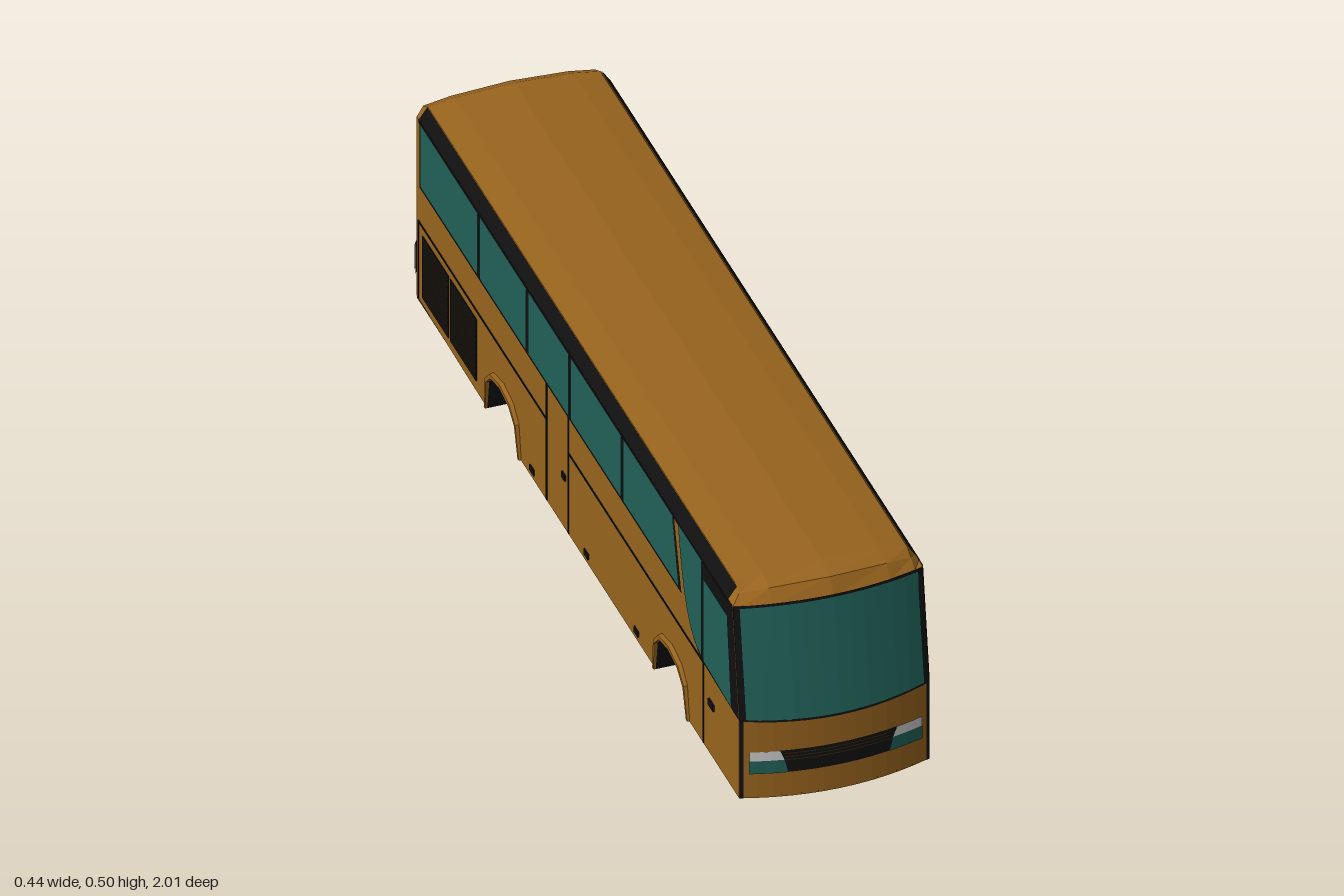
import * as THREE from 'three';

const ORANGE = 0x98641e, GLASS = 0x216158, BLACK = 0x101010, GREY = 0xcccccc, SLAT = 0x3a270c;
const W = 0.21, ARCHES = [0.56, -0.45];
const ARCH = [[-0.097, 0], [-0.085, 0.075], [-0.055, 0.104], [0, 0.116], [0.055, 0.104], [0.085, 0.075], [0.097, 0]];
const ROOF = [[-0.21, 0.46], [-0.19, 0.488], [-0.13, 0.498], [0, 0.505], [0.13, 0.498], [0.19, 0.488], [0.21, 0.46]];

const mats = {};
const mat = (color) => (mats[color] ??= new THREE.MeshStandardMaterial({ color, flatShading: true, side: THREE.DoubleSide }));

// Nose bows forward in plan; the windscreen leans back above y = 0.2
const frontZ = (x, y) => 1 - 0.84 * x * x - Math.max(0, y - 0.2) * 0.155;
// Flat tail with chamfered corners
const rearZ = (x) => (Math.abs(x) <= 0.19 ? -1 : -1 + (Math.abs(x) - 0.19) * 1.5);

export function createModel() {
  const root = new THREE.Group();

  const add = (name, geo, color) => {
    const m = new THREE.Mesh(geo, mat(color));
    m.name = name;
    root.add(m);
    return m;
  };
  const box = (name, color, x, y, z, w, h, d) =>
    add(name, new THREE.BoxGeometry(w, h, d).translate(x, y, z), color);

  // Surface through rows of points
  const sheet = (name, color, rows) => {
    const n = rows[0].length, idx = [];
    for (let r = 0; r < rows.length - 1; r++)
      for (let c = 0; c < n - 1; c++) {
        const a = r * n + c, b = a + n;
        idx.push(a, a + 1, b + 1, a, b + 1, b);
      }
    const g = new THREE.BufferGeometry();
    g.setAttribute('position', new THREE.Float32BufferAttribute(rows.flat(2), 3));
    g.setIndex(idx);
    g.computeVertexNormals();
    return add(name, g, color);
  };

  // Trapezium on the nose; bow bends the lower and upper edges
  const nosePatch = (name, color, off, [xb0, xb1, yb, bowB = 0], [xt0, xt1, yt, bowT = 0]) => {
    const edge = (x0, x1, y0, bow) => Array.from({ length: 13 }, (_, i) => {
      const x = x0 + (x1 - x0) * i / 12, y = y0 + bow * (1 - (x / W) ** 2);
      return [x, y, frontZ(x, y) + off];
    });
    return sheet(name, color, [edge(xb0, xb1, yb, bowB), edge(xt0, xt1, yt, bowT)]);
  };

  // Flat (z, y) outline placed on a side wall
  const sidePanel = (name, color, side, off, shape) => {
    const s = Array.isArray(shape) ? new THREE.Shape(shape.map(([z, y]) => new THREE.Vector2(z, y))) : shape;
    const g = new THREE.ShapeGeometry(s, 8), p = g.attributes.position;
    for (let i = 0; i < p.count; i++) p.setXYZ(i, side * (W + off), p.getY(i), p.getX(i));
    if (side > 0) {
      const a = g.index.array;
      for (let i = 0; i < a.length; i += 3) [a[i], a[i + 1]] = [a[i + 1], a[i]];
    }
    g.computeVertexNormals();
    return add(name, g, color);
  };

  // Roof with front brow, tail and chamfered rear corners in one loft
  const tailRow = (y, dz) => ROOF.map(([x]) => [x, y, rearZ(x) + dz]);
  sheet('roofAndTail', ORANGE, [
    ROOF.map(([x]) => [x, 0.456, frontZ(x, 0.456)]),
    ROOF.map(([x, y]) => [x, Math.abs(x) > 0.2 ? y : y - 0.012, 0.938 - 0.84 * x * x]),
    ROOF.map(([x, y]) => [x, y, 0.885]),
    ROOF.map(([x, y]) => [x, y, -0.955]),
    ROOF.map(([x, y]) => [x, Math.abs(x) > 0.2 ? y : y - 0.015, Math.abs(x) > 0.2 ? -0.97 : -0.985]),
    tailRow(0.45, 0), tailRow(0.05, 0), tailRow(0.008, 0.014),
  ]);

  // Nose
  nosePatch('nosePanel', ORANGE, 0, [-W, W, 0], [-W, W, 0.2]);
  nosePatch('windscreenFrame', BLACK, 0.001, [-W, W, 0.194, -0.009], [-W, W, 0.458, 0.005]);
  nosePatch('windscreen', GLASS, 0.003, [-0.197, 0.197, 0.199, -0.008], [-0.197, 0.197, 0.453, 0.005]);
  nosePatch('noseGrille', BLACK, 0.002, [-0.112, 0.112, 0.062], [-0.129, 0.129, 0.117]);
  for (const y of [0.093, 0.101, 0.109])
    nosePatch('noseGrilleBar', SLAT, 0.004, [-0.118, 0.118, y], [-0.12, 0.12, y + 0.002]);
  for (const s of [1, -1]) {
    nosePatch('headlight', GREY, 0.003, [s * 0.12, s * 0.191, 0.094], [s * 0.129, s * 0.191, 0.117]);
    nosePatch('foglight', GLASS, 0.003, [s * 0.112, s * 0.192, 0.062], [s * 0.12, s * 0.192, 0.094]);
    nosePatch('noseSeam', BLACK, 0.001, [s * 0.202, s * W, 0], [s * 0.202, s * W, 0.2]);
  }

  // Floor with wheel well openings
  const floor = new THREE.Shape();
  floor.moveTo(-W, -0.97).lineTo(-0.19, -0.986).lineTo(0.19, -0.986).lineTo(W, -0.97);
  const notch = (s, z0, z1) => floor.lineTo(s * W, z0).lineTo(s * 0.11, z0).lineTo(s * 0.11, z1).lineTo(s * W, z1);
  for (const z of [...ARCHES].reverse()) notch(1, z - 0.097, z + 0.097);
  for (let i = 0; i <= 10; i++) {
    const x = W - i * W / 5;
    floor.lineTo(x, frontZ(x, 0));
  }
  for (const z of ARCHES) notch(-1, z + 0.097, z - 0.097);
  add('floor', new THREE.ShapeGeometry(floor).rotateX(Math.PI / 2).translate(0, 0.004, 0), BLACK);

  for (const s of [1, -1]) {
    // Side wall with wheel arches cut out
    const wall = [[-0.97, 0.008], [-0.7, 0.002]];
    for (const z of [...ARCHES].reverse()) wall.push(...ARCH.map(([dz, y]) => [z + dz, y]));
    wall.push([0.963, 0], [0.963, 0.2], [0.923, 0.46], [-0.97, 0.46]);
    sidePanel('sideWall', ORANGE, s, 0, wall);

    for (const z of ARCHES) {
      // Wheel well liner
      const at = (x) => ARCH.map(([dz, y]) => [s * x, y, z + dz]);
      sheet('wheelWell', BLACK, [at(W), at(0.11)]);
      sheet('wheelWellInner', BLACK, [at(0.11), ARCH.map(([dz]) => [s * 0.11, 0, z + dz])]);
      // Flared arch lip
      const lip = (k, out) => ARCH.map(([dz, y]) => [s * (W + out * (0.5 + y * 4.3)), y * k, z + dz * k]);
      sheet('archLip', ORANGE, [lip(1, 0), lip(1, 0.01), lip(1.08, 0.01), lip(1.1, 0)]);
    }

    // Black cantrail above the windows
    sheet('cantrail', BLACK, [0.9, -0.955].map((z) => [
      [s * (W + 0.002), 0.455, z], [s * (W + 0.002), 0.461, z], [s * 0.192, 0.489, z]]));

    // Passenger windows
    sidePanel('windowBand', BLACK, s, 0.001, [[0.62, 0.294], [0.573, 0.463], [-0.952, 0.463], [-0.952, 0.294]]);
    const cuts = [0.61, 0.27, -0.045, -0.302, -0.592, -0.947];
    for (let i = 0; i < 5; i++) {
      const a = cuts[i] - (i ? 0.006 : 0), b = cuts[i + 1] + 0.006;
      sidePanel('sideWindow', GLASS, s, 0.003, [[a, 0.302], [i ? a : 0.572, 0.458], [b, 0.458], [b, 0.302]]);
    }

    // Cab windows in a black surround with a swept rear edge
    const surround = new THREE.Shape();
    surround.moveTo(0.963, 0.197).lineTo(0.923, 0.462).lineTo(0.597, 0.462);
    surround.bezierCurveTo(0.63, 0.29, 0.66, 0.22, 0.755, 0.204);
    sidePanel('cabSurround', BLACK, s, 0.001, surround);
    const swept = new THREE.Shape();
    swept.moveTo(0.744, 0.215).lineTo(0.744, 0.458).lineTo(0.604, 0.458);
    swept.bezierCurveTo(0.637, 0.295, 0.665, 0.23, 0.744, 0.215);
    sidePanel('sweptWindow', GLASS, s, 0.003, swept);
    sidePanel('cabWindow', GLASS, s, 0.003, [[0.925, 0.203], [0.9, 0.42], [0.755, 0.42], [0.755, 0.212]]);

    // Panel seams
    const seam = (z0, z1, y0, y1) => box('seam', BLACK, s * W, (y0 + y1) / 2, (z0 + z1) / 2, 0.003, y1 - y0, z1 - z0);
    seam(0.748, 0.752, 0.002, 0.205);
    seam(-0.962, -0.957, 0.01, 0.205);
    if (s > 0) seam(-0.96, 0.75, 0.202, 0.207);
    else {
      // Middle door and cab door handle on the right-hand side
      seam(-0.96, -0.19, 0.202, 0.207);
      seam(-0.06, 0.75, 0.202, 0.207);
      for (const z of [-0.19, -0.06]) seam(z - 0.003, z + 0.003, 0.002, 0.3);
      box('doorHandle', BLACK, -W, 0.13, 0.8, 0.008, 0.016, 0.03);
      box('doorHandle', BLACK, -W, 0.13, -0.085, 0.008, 0.014, 0.02);
    }

    // Engine vents
    for (const z of [-0.688, -0.855]) {
      box('engineVent', BLACK, s * W, 0.105, z, 0.004, 0.156, 0.156);
      for (let i = 0; i < 9; i++) box('ventSlat', SLAT, s * W, 0.041 + i * 0.016, z, 0.007, 0.003, 0.144);
    }

    // Small side markers
    for (const z of [0.35, 0.05, -0.275]) box('sideMarker', BLACK, s * W, 0.021, z, 0.006, 0.014, 0.025);

    // Tail lights wrapped round the corners
    const light = (x0, out, ya, yb) => [ya, yb].map((y) =>
      [x0, 0.17, 0.19, W].map((x) => [s * (x + (x > 0.18 ? out : 0)), y, rearZ(x) - out]));
    sheet('tailLightFrame', BLACK, light(0.138, 0.002, 0.062, 0.142));
    sheet('tailLight', GREY, light(0.146, 0.004, 0.07, 0.134));
  }

  // Tail window, louvres and engine hatch
  box('rearWindowFrame', BLACK, 0, 0.358, -1, 0.348, 0.152, 0.003);
  box('rearWindow', GLASS, 0, 0.358, -1, 0.334, 0.14, 0.006);
  for (let i = 0; i < 4; i++) box('rearLouvre', BLACK, 0, 0.268 - i * 0.014, -1, 0.34, 0.005, 0.004);
  for (const y of [0.19, 0.105]) box('hatchSeam', BLACK, 0, y, -1, 0.28, 0.003, 0.003);
  for (const x of [-0.14, 0.14]) box('hatchSeam', BLACK, x, 0.1475, -1, 0.003, 0.085, 0.003);
  box('rearBumperSeam', BLACK, 0, 0.088, -1, 0.28, 0.005, 0.004);

  return root;
}
